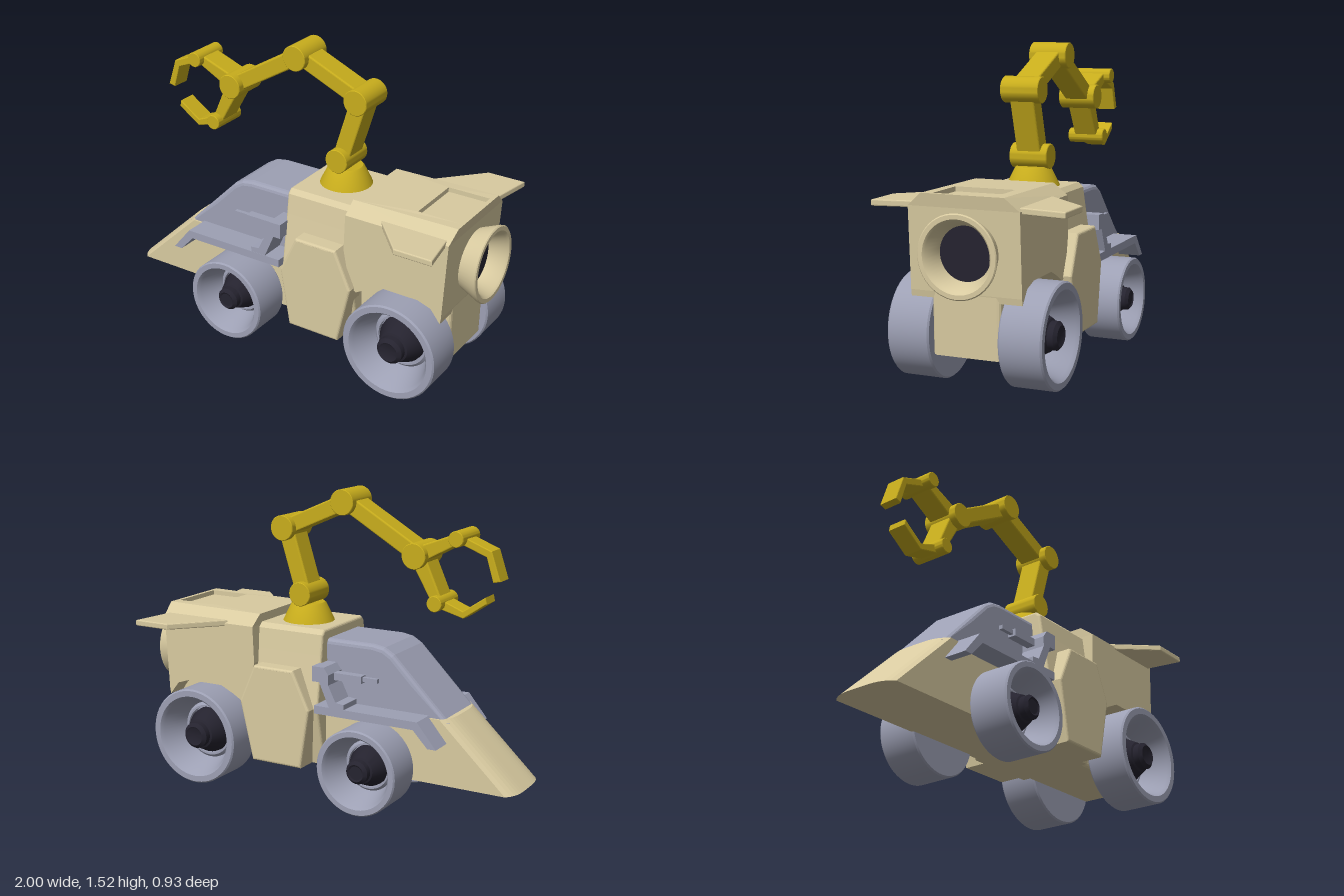
import * as THREE from 'three';
import { toCreasedNormals } from 'three/addons/utils/BufferGeometryUtils.js';

const paint = (color) => new THREE.MeshStandardMaterial({ color, side: THREE.DoubleSide });
const CZ = 0.018; // centre line of the hull

export function createModel() {
  const beige = paint(0xd8caa0), grey = paint(0x9da0b4), yellow = paint(0xc8ad1c), dark = paint(0x25232f);
  const model = new THREE.Group();

  const add = (name, geometry, material, x = 0, y = 0, z = 0, parent = model) => {
    const mesh = new THREE.Mesh(geometry, material);
    mesh.name = name;
    mesh.position.set(x, y, z);
    parent.add(mesh);
    return mesh;
  };
  const outline = (pts, Type = THREE.Shape) => new Type(pts.map(([x, y]) => new THREE.Vector2(x, y)));
  // Side profile extruded from z0 to z1, with an optional inset bevel
  const slab = (pts, z0, z1, bevel = 0, hole = null, steps = 1) => {
    const shape = outline(pts);
    if (hole) shape.holes.push(outline(hole, THREE.Path));
    return new THREE.ExtrudeGeometry(shape, {
      depth: z1 - z0 - 2 * bevel, steps, bevelEnabled: bevel > 0, bevelThickness: bevel,
      bevelSize: bevel, bevelOffset: -bevel, bevelSegments: 3,
    }).translate(0, 0, z0 + bevel);
  };
  // Slab on one side of the hull, s = 1 or -1
  const sideSlab = (s, pts, a, b, bevel, hole) =>
    slab(pts, Math.min(s * a, s * b), Math.max(s * a, s * b), bevel, hole);
  const lathe = (pts, segments = 48) => toCreasedNormals(
    new THREE.LatheGeometry(pts.map(([r, y]) => new THREE.Vector2(r, y)), segments), 0.5);

  // Wedge nose with a bowed leading edge
  const hw = 0.176;
  const nose = slab([[-1, 0.16], [0.04, 0.16], [0.04, 0.48], [-0.66, 0.48]], -hw, hw, 0, null, 16);
  const p = nose.attributes.position;
  for (let i = 0; i < p.count; i++) {
    if (p.getX(i) < -0.5) p.setX(i, p.getX(i) + 0.045 * Math.pow(Math.abs(p.getZ(i) / hw), 4));
  }
  nose.computeVertexNormals();
  add('nose', nose, beige, 0, 0, CZ);

  // Sloped front canopy
  add('canopy', slab([[-0.66, 0.46], [0.02, 0.46], [0.02, 0.795], [-0.25, 0.795], [-0.31, 0.785],
    [-0.36, 0.755], [-0.64, 0.475]], -0.165, 0.165, 0.025), grey, 0, 0, CZ);

  // Middle section, a cross-section run along x
  const half = [[0.195, 0.16], [0.262, 0.46], [0.222, 0.72], [0.208, 0.82], [0.185, 0.843]];
  const ring = [...half, ...half.map(([z, y]) => [-z, y]).reverse()];
  add('middleSection', slab(ring, 0, 0.40, 0.012).rotateY(Math.PI / 2), beige, 0, 0, CZ);

  // Rear hull: lower core, arched upper body, chamfered roof with a sunken hatch
  add('rearCore', slab([[0.36, 0.16], [0.88, 0.16], [0.885, 0.5], [0.36, 0.5]], -0.168, 0.168, 0.02),
    beige, 0, 0, CZ);
  add('rearBody', slab([[0.365, 0.832], [0.358, 0.65], [0.395, 0.46], [0.43, 0.44], [0.49, 0.475], [0.56, 0.508],
    [0.76, 0.508], [0.83, 0.485], [0.88, 0.42], [0.885, 0.45], [0.905, 0.832]], -0.27, 0.27), beige, 0, 0, CZ);
  const roof = slab([[0.365, -0.27], [0.905, -0.27], [0.905, 0.27], [0.365, 0.27]], 0, 0.06, 0,
    [[0.68, -0.148], [0.68, 0.148], [0.895, 0.148], [0.895, -0.148]]).rotateX(-Math.PI / 2);
  const q = roof.attributes.position;
  for (let i = 0; i < q.count; i++) {
    if (q.getY(i) < 0.05) continue;
    if (Math.abs(q.getZ(i)) > 0.2) q.setZ(i, Math.sign(q.getZ(i)) * 0.2);
    if (q.getX(i) > 0.9) q.setX(i, 0.915);
    if (q.getX(i) < 0.4) q.setY(i, 0.054);
  }
  roof.computeVertexNormals();
  add('roof', roof, beige, 0, 0.831, CZ);
  add('roofHatch', new THREE.BoxGeometry(0.215, 0.04, 0.296), beige, 0.7875, 0.848, CZ);

  // Engine nozzle
  add('nozzle', lathe([[0.14, 0.84], [0.145, 0.88], [0.188, 0.985], [0.19, 0.995], [0.185, 1], [0.165, 1],
    [0.155, 0.99], [0.124, 0.91], [0.124, 0.87]]).rotateZ(-Math.PI / 2), beige, 0, 0.635, 0.005);
  add('nozzleCore', new THREE.CylinderGeometry(0.126, 0.126, 0.02, 48).rotateZ(Math.PI / 2),
    dark, 0.9, 0.635, 0.005);

  const doorRim = [[0.07, 0.16], [0.35, 0.16], [0.42, 0.46], [0.335, 0.65], [0.11, 0.65], [0.02, 0.46]];
  const doorPane = [[0.1, 0.185], [0.325, 0.185], [0.385, 0.455], [0.315, 0.627], [0.13, 0.627], [0.045, 0.455]];
  const rail = [[-0.655, 0.37], [-0.61, 0.37], [-0.535, 0.45], [0, 0.45], [0, 0.49], [-0.555, 0.49]];
  const strut = [[-0.165, 0.485], [-0.085, 0.485], [-0.03, 0.61], [0.01, 0.61], [0.01, 0.685], [-0.055, 0.685],
    [-0.08, 0.65], [-0.08, 0.6], [-0.12, 0.52], [-0.165, 0.515]];

  for (const s of [1, -1]) {
    const side = new THREE.Group();
    side.name = s > 0 ? 'frontFacingSide' : 'farSide';
    side.position.z = CZ;
    model.add(side);
    const put = (name, geo, mat, x, y, z) => add(name, geo, mat, x, y, z, side);

    // Hexagonal door with dark pane
    put('doorFrame', sideSlab(s, doorRim, 0.18, 0.312, 0.012, doorPane), beige);
    put('doorPane', sideSlab(s, doorPane, 0.19, 0.298, 0), dark);

    // Side rail, strut and small launcher
    put('sideRail', sideSlab(s, rail, 0.14, 0.292, 0), grey);
    put('railStrut', sideSlab(s, strut, 0.15, 0.291, 0), grey);
    put('launcher', new THREE.BoxGeometry(0.18, 0.036, 0.045), grey, -0.14, 0.633, s * 0.215);
    put('launcherBarrel', new THREE.BoxGeometry(0.09, 0.02, 0.02), grey, -0.265, 0.635, s * 0.215);

    // Rear wing, drawn in plan
    const wing = slab([[0.52, 0.24], [0.725, 0.466], [0.918, 0.466], [0.88, 0.24]], 0, 0.03, 0.006);
    wing.rotateX(Math.PI / 2);
    if (s < 0) wing.rotateX(Math.PI).translate(0, -0.03, 0);
    put('wing', wing, beige, 0, 0.848, -CZ);

    // Dished wheels with stepped hubs
    for (const [name, x, R] of [['frontWheel', -0.27, 0.212], ['rearWheel', 0.67, 0.246]]) {
      const tyre = [[0, 0], [0.97 * R, 0], [R, 0.008], [R, 0.2], [0.97 * R, 0.208], [0.85 * R, 0.208],
        [0.79 * R, 0.19], [0.6 * R, 0.06], [0.54 * R, 0.075], [0.5 * R, 0.075], [0.5 * R, 0.05], [0, 0.05]];
      const hub = [[0.48 * R, 0.05], [0.47 * R, 0.075], [0.31 * R, 0.15], [0.27 * R, 0.155], [0.27 * R, 0.185],
        [0.2 * R, 0.2], [0.16 * R, 0.195], [0, 0.195]];
      const turn = s * Math.PI / 2;
      put(name, lathe(tyre, 64).rotateX(turn), grey, x, R, s * 0.168 + 0.004);
      put(name + 'Hub', lathe(hub, 32).rotateX(turn), dark, x, R, s * 0.168 + 0.004);
    }
  }

  // Robot arm: turret, joints, links and claw
  const arm = new THREE.Group();
  arm.name = 'arm';
  model.add(arm);
  add('turret', lathe([[0.13, 0.84], [0.125, 0.852], [0.088, 0.928], [0.08, 0.936], [0, 0.936]]),
    yellow, 0.19, 0, -0.002, arm);
  const joints = {
    base: [0.19, 0.985, 0.06], elbow: [0.29, 1.307, 0.063], shoulder: [-0.05, 1.455, 0.063],
    wrist: [-0.435, 1.228, 0.062], upperKnuckle: [-0.65, 1.325, 0.038], lowerKnuckle: [-0.545, 1.013, 0.038],
  };
  for (const [name, [x, y, r]] of Object.entries(joints)) {
    add(name + 'Joint', lathe([[0, -0.096], [r - 0.003, -0.096], [r, -0.093], [r, 0.093], [r - 0.003, 0.096], [0, 0.096]],
      40).rotateX(Math.PI / 2), yellow, x, y, 0.001, arm);
  }
  const links = [['base', 'elbow', 0.088, 0.088], ['elbow', 'shoulder', 0.08, 0.08], ['shoulder', 'wrist', 0.08, 0.08],
    ['wrist', 'upperKnuckle', 0.08, 0.05], ['wrist', 'lowerKnuckle', 0.08, 0.055]];
  for (const [from, to, w0, w1] of links) {
    const [x0, y0] = joints[from], [x1, y1] = joints[to];
    const len = Math.hypot(x1 - x0, y1 - y0);
    const geo = slab([[0, -w0 / 2], [len, -w1 / 2], [len, w1 / 2], [0, w0 / 2]], -0.061, 0.061, 0.008);
    add(to + 'Link', geo, yellow, x0, y0, 0, arm).rotation.z = Math.atan2(y1 - y0, x1 - x0);
  }
  add('upperFinger', slab([[-0.65, 1.34], [-0.81, 1.277], [-0.856, 1.14], [-0.82, 1.132], [-0.785, 1.247],
    [-0.65, 1.3]], -0.05, 0.05, 0.005), yellow, 0, 0, 0, arm);
  add('lowerFinger', slab([[-0.545, 1.035], [-0.672, 0.985], [-0.785, 1.062], [-0.792, 1.03], [-0.675, 0.95],
    [-0.545, 0.985]], -0.05, 0.05, 0.005), yellow, 0, 0, 0, arm);

  return model;
}
